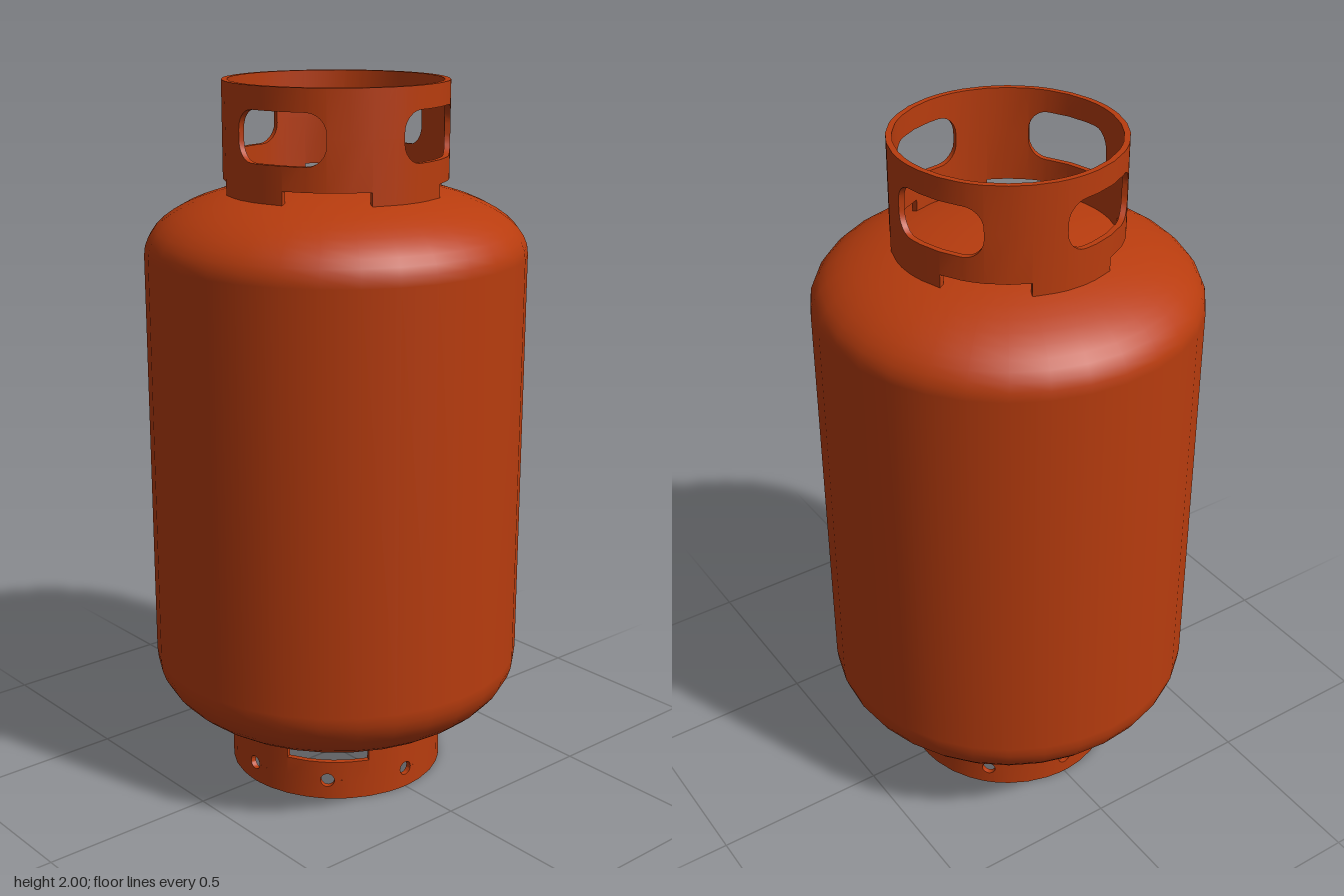
import * as THREE from 'three';
import { toCreasedNormals } from 'three/addons/utils/BufferGeometryUtils.js';

const SIDES = 32, OUTER = 0.31, INNER = 0.294;
const TAB = Math.asin(0.12 / OUTER); // half-angle of the four welding tabs

// signed angle from a to the nearest multiple of step
const nearest = (a, step) => a - Math.round(a / step) * step;
const onTab = a => Math.abs(nearest(a, Math.PI / 2)) < TAB;

// half-height of a rounded opening at arc distance u from its middle
function openingAt(u, { w, h, r }) {
  if (u >= w) return 0;
  const d = Math.max(0, u - (w - r));
  return h - r + Math.sqrt(Math.max(0, r * r - d * d));
}

// Ring with thickness: columns round the circle, split above and below the openings
function pierced(bottom, top, hole) {
  const step = Math.PI * 2 / hole.count;
  const angles = [];
  for (let i = 0; i < SIDES; i++) angles.push(i * Math.PI * 2 / SIDES);
  for (let q = 0; q < 4; q++) for (const s of [-1, 1]) angles.push(q * Math.PI / 2 + s * TAB);
  for (let i = 0; i < hole.count; i++) {
    for (const s of [-1, 1]) for (let k = 0; k <= 6; k++) {
      const u = hole.w - hole.r + hole.r * Math.sin(k * Math.PI / 12);
      angles.push(i * step + hole.angle + s * u / OUTER);
    }
  }
  const turn = Math.PI * 2;
  const sorted = angles.map(a => ((a % turn) + turn) % turn).sort((a, b) => a - b)
    .filter((a, i, all) => i === 0 || a - all[i - 1] > 1e-4);

  // each station: angle, bottom, opening low, opening high, top; two at a sudden step
  const stations = [];
  for (const a of sorted) {
    const [before, after] = [a - 1e-6, a + 1e-6].map(t => {
      const half = openingAt(Math.abs(nearest(t - hole.angle, step)) * OUTER, hole);
      return [a, bottom(t), hole.y - half, hole.y + half, top(t)];
    });
    stations.push(before);
    if (before.some((v, i) => Math.abs(v - after[i]) > 1e-3)) stations.push(after);
  }

  const pos = [];
  const point = (a, r, y) => new THREE.Vector3(Math.sin(a) * r, y, Math.cos(a) * r);
  const triangle = (a, b, c) => {
    const area = b.clone().sub(a).cross(c.clone().sub(a)).length();
    if (area > 1e-9) for (const p of [a, b, c]) pos.push(p.x, p.y, p.z);
  };
  const section = (s, lo) => [
    point(s[0], OUTER, s[lo]), point(s[0], OUTER, s[lo + 1]),
    point(s[0], INNER, s[lo + 1]), point(s[0], INNER, s[lo]),
  ];
  stations.forEach((s, i) => {
    const n = stations[(i + 1) % stations.length];
    const closed = s[3] - s[2] < 1e-4 && n[3] - n[2] < 1e-4;
    for (const lo of [1, 3]) {
      const A = section(s, lo), B = section(n, lo);
      for (let k = 0; k < 4; k++) {
        if (closed && k === (lo === 1 ? 1 : 3)) continue; // no face inside solid wall
        const m = (k + 1) % 4;
        triangle(A[k], B[k], B[m]);
        triangle(A[k], B[m], A[m]);
      }
    }
  });
  const g = new THREE.BufferGeometry();
  g.setAttribute('position', new THREE.Float32BufferAttribute(pos, 3));
  return toCreasedNormals(g, 0.6);
}

// Tank: straight wall between two domed ends
function tankGeometry() {
  const R = 0.53, N = 14, pts = [];
  const dome = (t, y, h) => new THREE.Vector2(
    R * Math.pow(Math.max(0, Math.sin(t)), 0.95), y + h * Math.pow(Math.max(0, Math.cos(t)), 0.95));
  for (let i = 0; i <= N; i++) pts.push(dome(i / N * Math.PI / 2, 0.36, -0.245));
  for (let i = N; i >= 0; i--) pts.push(dome(i / N * Math.PI / 2, 1.53, 0.203));
  return new THREE.LatheGeometry(pts, SIDES);
}

export function createModel() {
  const model = new THREE.Group();
  model.name = 'gasCylinder';
  const paint = new THREE.MeshStandardMaterial({ color: 0xb83c0e });
  const add = (name, geometry) => {
    const mesh = new THREE.Mesh(geometry, paint);
    mesh.name = name;
    model.add(mesh);
  };

  add('tank', tankGeometry());

  // Guard collar with four hand holes, standing on four tabs
  add('collar', pierced(a => onTab(a) ? 1.675 : 1.735, () => 2,
    { count: 4, angle: 0.345, w: 0.137, h: 0.069, r: 0.055, y: 1.869 }));

  // Foot ring with eight drain holes, welded on by four tabs
  add('footRing', pierced(() => 0, a => onTab(a) ? 0.165 : 0.115,
    { count: 8, angle: 0, w: 0.02, h: 0.02, r: 0.02, y: 0.058 }));

  return model;
}
